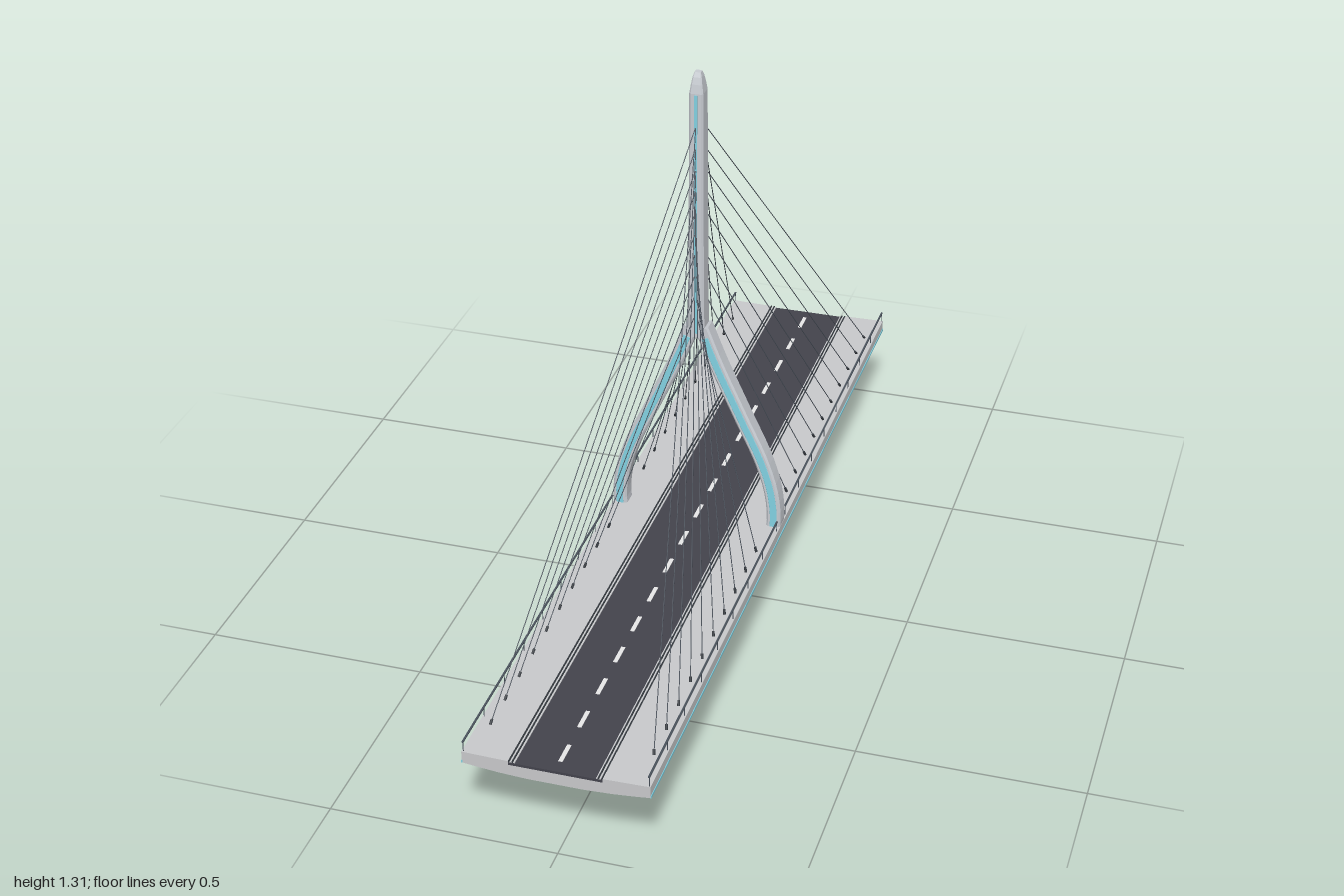
import * as THREE from 'three';

const mat = (name, color) => {
  const m = new THREE.MeshStandardMaterial({ color });
  m.name = name;
  return m;
};

// Chamfered bar swept along a path in the XY plane; stations are [x, y, halfWidth, halfDepth]
function sweepBar(stations, chamfer = 0.25) {
  const rings = stations.map(([x, y, w, d], i) => {
    const a = stations[Math.max(i - 1, 0)], b = stations[Math.min(i + 1, stations.length - 1)];
    const t = new THREE.Vector2(b[0] - a[0], b[1] - a[1]).normalize();
    const c = Math.min(w, d) * chamfer;
    return [[w, -d + c], [w, d - c], [w - c, d], [c - w, d], [-w, d - c], [-w, c - d], [c - w, -d], [w - c, -d]]
      .map(([u, z]) => [x + t.y * u, y - t.x * u, z]);
  });
  const pos = [];
  const tri = (a, b, c) => pos.push(...a, ...b, ...c);
  for (let k = 0; k < rings.length - 1; k++) {
    for (let i = 0; i < 8; i++) {
      const j = (i + 1) % 8, lo = rings[k], hi = rings[k + 1];
      tri(lo[i], hi[i], lo[j]);
      tri(lo[j], hi[i], hi[j]);
    }
  }
  const first = rings[0], last = rings[rings.length - 1];
  for (let i = 1; i < 7; i++) {
    tri(first[0], first[i], first[i + 1]);
    tri(last[0], last[i + 1], last[i]);
  }
  const g = new THREE.BufferGeometry();
  g.setAttribute('position', new THREE.Float32BufferAttribute(pos, 3));
  g.computeVertexNormals();
  return g;
}

export function createModel() {
  const model = new THREE.Group();
  model.name = 'cableStayedBridge';
  const concrete = mat('deckConcrete', 0xc8c9cb);
  const pylon = mat('pylonConcrete', 0xc8ccd2);
  const asphalt = mat('asphalt', 0x43434c);
  const accent = mat('accentBlue', 0x82d2e2);
  const footing = mat('footingGrey', 0x6d7780);
  const steel = mat('darkSteel', 0x33383e);
  const cable = mat('cableGrey', 0x4a525c);
  const paint = mat('laneWhite', 0xf0f0f0);

  const add = (name, geo, material, parent = model) => {
    const m = new THREE.Mesh(geo, material);
    m.name = name;
    parent.add(m);
    return m;
  };
  const box = (name, material, w, h, d, x, y, z, parent) => {
    const m = add(name, new THREE.BoxGeometry(w, h, d), material, parent);
    m.position.set(x, y, z);
    return m;
  };
  const rod = (name, material, a, b, r, parent) => {
    const dir = b.clone().sub(a);
    const m = add(name, new THREE.CylinderGeometry(r, r, dir.length(), 6), material, parent);
    m.position.copy(a).add(b).multiplyScalar(0.5);
    m.quaternion.setFromUnitVectors(new THREE.Vector3(0, 1, 0), dir.normalize());
  };
  const group = (name) => {
    const g = new THREE.Group();
    g.name = name;
    model.add(g);
    return g;
  };

  // Deck with a sunken carriageway and a shallow curved belly
  const half = [[0.1, 0.204], [0.1, 0.213], [0.2, 0.215], [0.2, 0.188], [0.165, 0.184], [0.12, 0.18], [0.06, 0.177]];
  const outline = [...half, ...half.map(([x, y]) => [-x, y]).reverse()].map(([x, y]) => new THREE.Vector2(x, y));
  const deckGeo = new THREE.ExtrudeGeometry(new THREE.Shape(outline), { depth: 2, bevelEnabled: false });
  add('deck', deckGeo.translate(0, 0, -1), concrete);
  box('roadway', asphalt, 0.2, 0.006, 2, 0, 0.207, 0);
  const dashes = group('laneDashes');
  for (let i = -8; i <= 8; i++) box('laneDash', paint, 0.009, 0.002, 0.056, 0, 0.2105, i * 0.1175, dashes);

  // Deck edges: blue band, kerb with low rails, and handrail that breaks at the pylon
  for (const s of [-1, 1]) {
    const edge = group(s > 0 ? 'leftDeckEdge' : 'rightDeckEdge');
    box('edgeBand', accent, 0.003, 0.006, 2, s * 0.2, 0.1905, 0, edge);
    box('kerb', concrete, 0.013, 0.002, 1.998, s * 0.0925, 0.211, 0, edge);
    for (const x of [0.091, 0.0985]) box('kerbRail', steel, 0.003, 0.003, 2, s * x, 0.2125, 0, edge);
    for (const e of [-1, 1]) {
      box('handrail', cable, 0.004, 0.0025, 0.965, s * 0.1965, 0.239, e * 0.5175, edge);
      for (let i = 0; i < 9; i++) {
        box('railPost', cable, 0.0015, 0.024, 0.0015, s * 0.1965, 0.227, e * (0.037 + i * 0.12), edge);
      }
    }
  }

  // Mast with tapered tip and blue centre line on front and back
  add('mast', sweepBar([[0, 0.68, 0.019, 0.0225], [0, 0.95, 0.017, 0.022], [0, 1.265, 0.0155, 0.02],
    [0, 1.285, 0.0125, 0.0165], [0, 1.3, 0.01, 0.012], [0, 1.31, 0.007, 0.007]]), pylon);
  add('mastStripe', sweepBar([[0, 0.69, 0.0035, 0.0238], [0, 1.262, 0.0035, 0.0215]], 0.1), accent);

  // Bowed legs sweeping out around the deck and back in to the footing, slimmer below
  for (const s of [-1, 1]) {
    const side = s > 0 ? 'left' : 'right';
    const path = new THREE.CatmullRomCurve3([[0.012, 0.7], [0.045, 0.617], [0.105, 0.485], [0.155, 0.375],
      [0.178, 0.295], [0.183, 0.215], [0.166, 0.155], [0.115, 0.107], [0.022, 0.034]]
      .map(([x, y]) => new THREE.Vector3(s * x, y, 0)));
    const stations = (from, to, w, d) => Array.from({ length: 33 }, (_, i) => {
      const p = path.getPointAt(from + (to - from) * i / 32);
      return [p.x, p.y, w, d - 0.003 * THREE.MathUtils.smoothstep(-p.y, -0.15, -0.1)];
    });
    add(side + 'Leg', sweepBar(stations(0, 1, 0.0165, 0.0205)), pylon);
    add(side + 'LegStripe', sweepBar(stations(0.03, 0.8, 0.008, 0.022), 0.1), accent);
  }
  box('crossbeam', pylon, 0.32, 0.019, 0.036, 0, 0.166, 0);

  // Chamfered footing
  add('footing', sweepBar([[0, 0, 0.047, 0.047], [0, 0.005, 0.052, 0.052], [0, 0.026, 0.052, 0.052],
    [0, 0.031, 0.047, 0.047]], 0.12), footing);

  // Stay cables fanning from the mast to deck anchors
  const stays = group('stayCables');
  for (const s of [-1, 1]) {
    for (const e of [-1, 1]) {
      for (let i = 0; i < 10; i++) {
        const low = new THREE.Vector3(s * 0.175, 0.215, e * (0.132 + i * 0.0853));
        const high = new THREE.Vector3(0, 0.74 + i * 0.05, e * 0.019);
        rod('stayCable', cable, low, high, 0.001, stays);
        rod('deckAnchor', steel, low, low.clone().lerp(high, 0.012 / low.distanceTo(high)), 0.003, stays);
      }
    }
  }
  return model;
}
